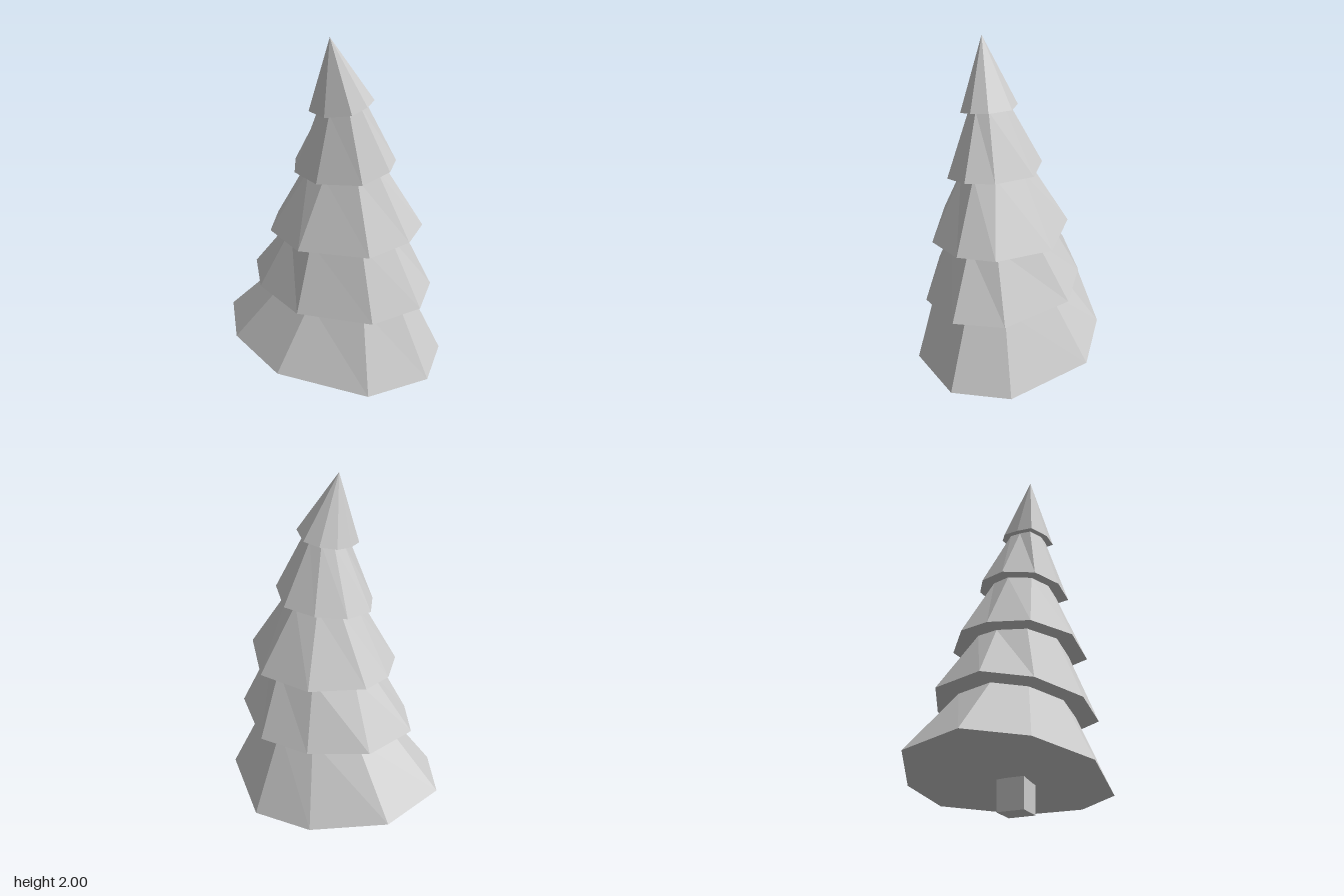
import * as THREE from 'three';

// Irregular nine-sided rim of each foliage tier, bottom to top: [x, y, z]
const RIMS = [
  [[-0.14, 0.16, -0.52], [0.22, 0.13, -0.52], [0.61, 0.13, -0.17], [0.65, 0.135, 0.165], [0.405, 0.13, 0.44],
    [-0.11, 0.18, 0.515], [-0.47, 0.22, 0.335], [-0.655, 0.24, 0.05], [-0.53, 0.22, -0.325]],
  [[-0.06, 0.58, -0.4], [0.24, 0.575, -0.4], [0.55, 0.58, -0.12], [0.585, 0.58, 0.16], [0.395, 0.555, 0.375],
    [-0.02, 0.55, 0.435], [-0.32, 0.575, 0.29], [-0.47, 0.59, 0.06], [-0.365, 0.59, -0.245]],
  [[-0.03, 0.935, -0.33], [0.285, 0.935, -0.31], [0.505, 0.97, -0.06], [0.505, 0.96, 0.15], [0.355, 0.925, 0.335],
    [-0.03, 0.91, 0.39], [-0.265, 0.92, 0.25], [-0.33, 0.925, 0.03], [-0.285, 0.93, -0.145]],
  [[0.01, 1.31, -0.185], [0.2, 1.32, -0.185], [0.355, 1.34, -0.02], [0.38, 1.335, 0.135], [0.28, 1.29, 0.26],
    [0.035, 1.27, 0.295], [-0.125, 1.28, 0.22], [-0.2, 1.285, 0.055], [-0.14, 1.295, -0.095]],
  [[0.05, 1.65, -0.06], [0.15, 1.66, -0.055], [0.25, 1.675, 0.04], [0.25, 1.665, 0.135], [0.195, 1.635, 0.205],
    [0.05, 1.61, 0.225], [-0.06, 1.615, 0.175], [-0.06, 1.62, 0.085], [-0.03, 1.635, -0.01]],
];
const SIDES = 9;
const APEX = [0.04, 2, 0.13];

// Shrink a ring toward its own centre (0 collapses it to a point)
function shrink(ring, s) {
  const c = [0, 1, 2].map((k) => ring.reduce((sum, p) => sum + p[k], 0) / SIDES);
  return ring.map((p) => p.map((v, k) => c[k] + (v - c[k]) * s));
}

// Skin a stack of rings, leaving out the collapsed half of fan quads
function skin(rings) {
  const pos = [];
  const same = (p, q) => p.every((v, k) => Math.abs(v - q[k]) < 1e-6);
  const tri = (a, b, c) => {
    if (!same(a, b) && !same(b, c) && !same(a, c)) pos.push(...a, ...b, ...c);
  };
  for (let r = 0; r < rings.length - 1; r++) {
    for (let i = 0; i < SIDES; i++) {
      const j = (i + 1) % SIDES;
      const lo = rings[r], hi = rings[r + 1];
      tri(lo[i], hi[i], hi[j]);
      tri(lo[i], hi[j], lo[j]);
    }
  }
  const geo = new THREE.BufferGeometry();
  geo.setAttribute('position', new THREE.Float32BufferAttribute(pos, 3));
  geo.computeVertexNormals();
  return geo;
}

export function createModel() {
  const group = new THREE.Group();
  group.name = 'pineTree';
  const material = new THREE.MeshStandardMaterial({ color: 0xcccccc, flatShading: true });

  // Foliage: each tier has an underside, a rim and a tapering skirt
  const necks = RIMS.map((rim, i) => shrink(rim, i === 0 ? 0 : 0.72));
  RIMS.forEach((rim, i) => {
    const top = necks[i + 1] ?? rim.map(() => APEX);
    const tier = new THREE.Mesh(skin([necks[i], rim, top]), material);
    tier.name = `foliageTier${i + 1}`;
    group.add(tier);
  });

  // Square trunk, running up into the lowest tier
  const trunk = new THREE.Mesh(new THREE.BoxGeometry(0.15, 0.22, 0.155), material);
  trunk.position.set(0.057, 0.11, 0.018);
  trunk.name = 'trunk';
  group.add(trunk);

  return group;
}
